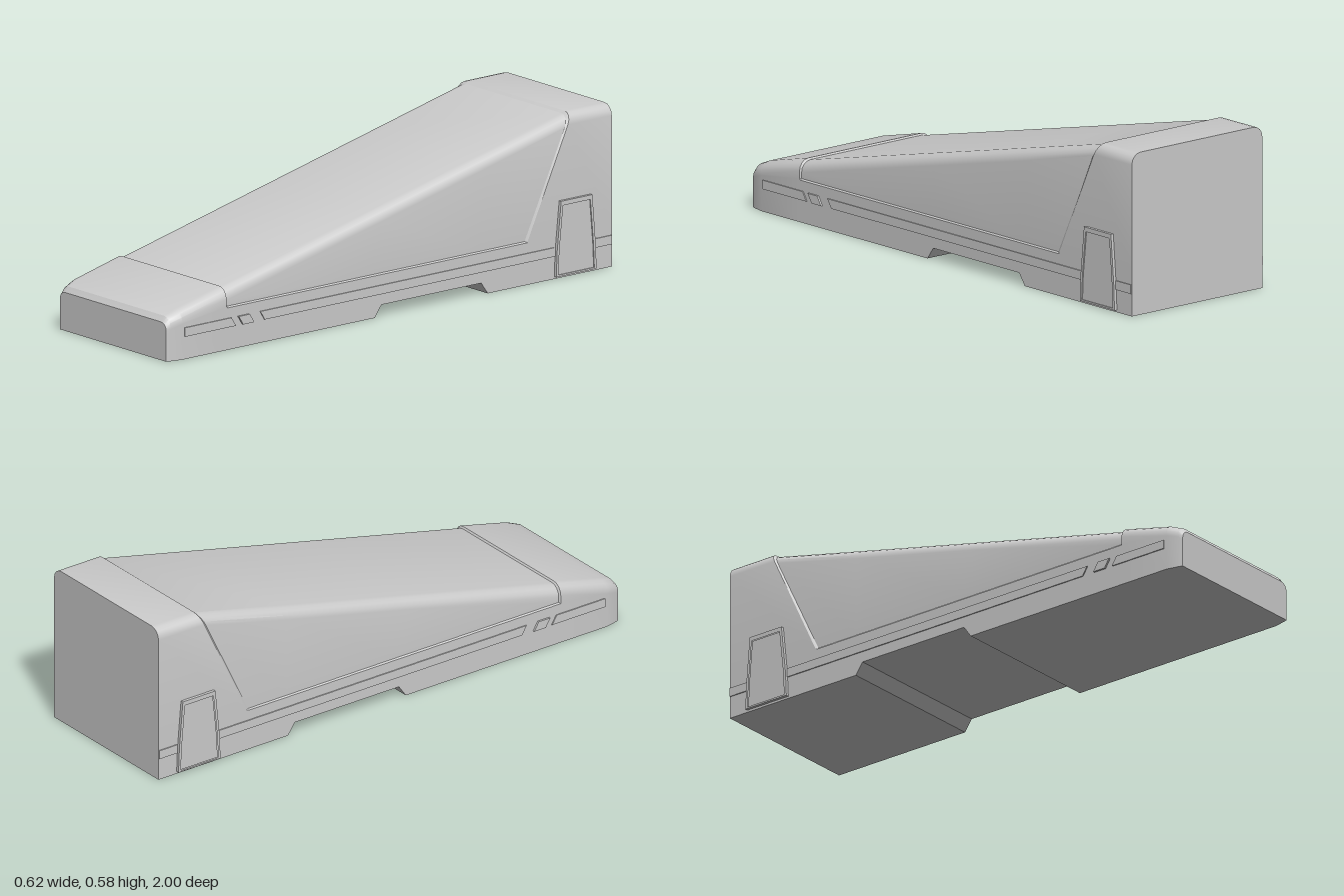
import * as THREE from 'three';
import { toCreasedNormals } from 'three/addons/utils/BufferGeometryUtils.js';

const material = new THREE.MeshStandardMaterial({ color: 0xcccccc });

// Closed cross-section with rounded top corners; the upper sides may be inset and sheared in z
function section({ z, top, w = 0.3, r = 0.04, base = 0, inset = 0, shear = 0 }) {
  const arcY = top - r;
  const belt = Math.min(0.15, arcY - 0.012);
  const half = [
    [w, base, z + shear],
    [w, belt, z + shear],
    [w - inset, belt + 0.005, z + shear],
  ];
  const steps = 4;
  for (let i = 0; i <= steps; i++) {
    const a = (i / steps) * Math.PI / 2;
    const y = arcY + r * Math.sin(a);
    half.push([w - inset - r + r * Math.cos(a), y, z + shear * (top - y) / (top - belt)]);
  }
  const other = half.map(([x, y, d]) => [-x, y, d]).reverse();
  return [...half, ...other];
}

// Skin through the sections from front to back, with flat end caps
function loft(rings) {
  const n = rings[0].length, index = [];
  for (let i = 0; i < rings.length - 1; i++) {
    for (let j = 0; j < n; j++) {
      const k = (j + 1) % n;
      const a = i * n + j, b = i * n + k, c = b + n, d = a + n;
      index.push(a, d, b, b, d, c);
    }
  }
  const last = (rings.length - 1) * n;
  for (let j = 1; j < n - 1; j++) {
    index.push(0, j, j + 1, last, last + j + 1, last + j);
  }
  const g = new THREE.BufferGeometry();
  g.setAttribute('position', new THREE.Float32BufferAttribute(rings.flat(2), 3));
  g.setIndex(index);
  return toCreasedNormals(g, 0.45);
}

// Flat plate on one side (s = 1 left, -1 right), outlined by [z, y] points
function sidePlate(name, s, outline, outer, hole) {
  const map = (pts) => pts.map(([z, y]) => new THREE.Vector2(-s * z, y));
  const shape = new THREE.Shape(map(outline));
  if (hole) shape.holes.push(new THREE.Path(map(hole)));
  const inner = 0.28;
  const g = new THREE.ExtrudeGeometry(shape, { depth: outer - inner, bevelEnabled: false });
  g.rotateY(s * Math.PI / 2).translate(s * inner, 0, 0);
  const mesh = new THREE.Mesh(g, material);
  mesh.name = name;
  return mesh;
}

export function createModel() {
  const model = new THREE.Group();
  model.name = 'wedgeBody';

  // Main body: blunt nose, inset sloping panel, underside recess, tall rear block
  const slope = (z) => 0.572 + (0.216 - 0.572) * (z + 0.81) / 1.545;
  const panel = (z, base = 0, shear = 0) => ({ z, top: slope(z), inset: 0.005, base, shear });
  const stations = [
    { z: 1, top: 0.137, w: 0.285, r: 0.027 },
    { z: 0.985, top: 0.156, w: 0.29, r: 0.035 },
    { z: 0.94, top: 0.174, w: 0.3, r: 0.04 },
    { z: 0.74, top: 0.222 },
    panel(0.735),
    panel(0.07),
    panel(0.04, 0.042),
    panel(-0.41, 0.042),
    panel(-0.44),
    panel(-0.81, 0, 0.2),
    { z: -0.82, top: 0.58, shear: 0.2 },
    { z: -1, top: 0.58 },
  ];
  const body = new THREE.Mesh(loft(stations.map(section)), material);
  body.name = 'body';
  model.add(body);

  // Tapered door outline
  const doorOuter = [[-0.74, 0.008], [-0.922, 0.008], [-0.918, 0.1], [-0.903, 0.276], [-0.762, 0.276], [-0.744, 0.1]];
  const doorInner = [[-0.75, 0.014], [-0.912, 0.014], [-0.908, 0.1], [-0.894, 0.26], [-0.771, 0.26], [-0.754, 0.1]];

  // Trim strip pieces: front and rear z limits, with slant at each end
  const strips = [
    ['frontTrim', 0.93, 0.7, 0, 0.02],
    ['trimMarker', 0.67, 0.62, 0.02, 0.02],
    ['longTrim', 0.57, -0.742, 0.02, 0],
    ['rearTrim', -0.92, -0.998, 0, 0],
  ];

  for (const s of [1, -1]) {
    const side = new THREE.Group();
    side.name = s > 0 ? 'leftSide' : 'rightSide';
    side.add(sidePlate('doorFrame', s, doorOuter, 0.311, doorInner));
    side.add(sidePlate('doorPanel', s, doorInner, 0.307));
    for (const [name, z0, z1, slant0, slant1] of strips) {
      const outline = [[z0, 0.081], [z1, 0.081], [z1 + slant1, 0.113], [z0 + slant0, 0.113]];
      side.add(sidePlate(name, s, outline, name === 'trimMarker' ? 0.307 : 0.304));
    }
    model.add(side);
  }
  return model;
}
